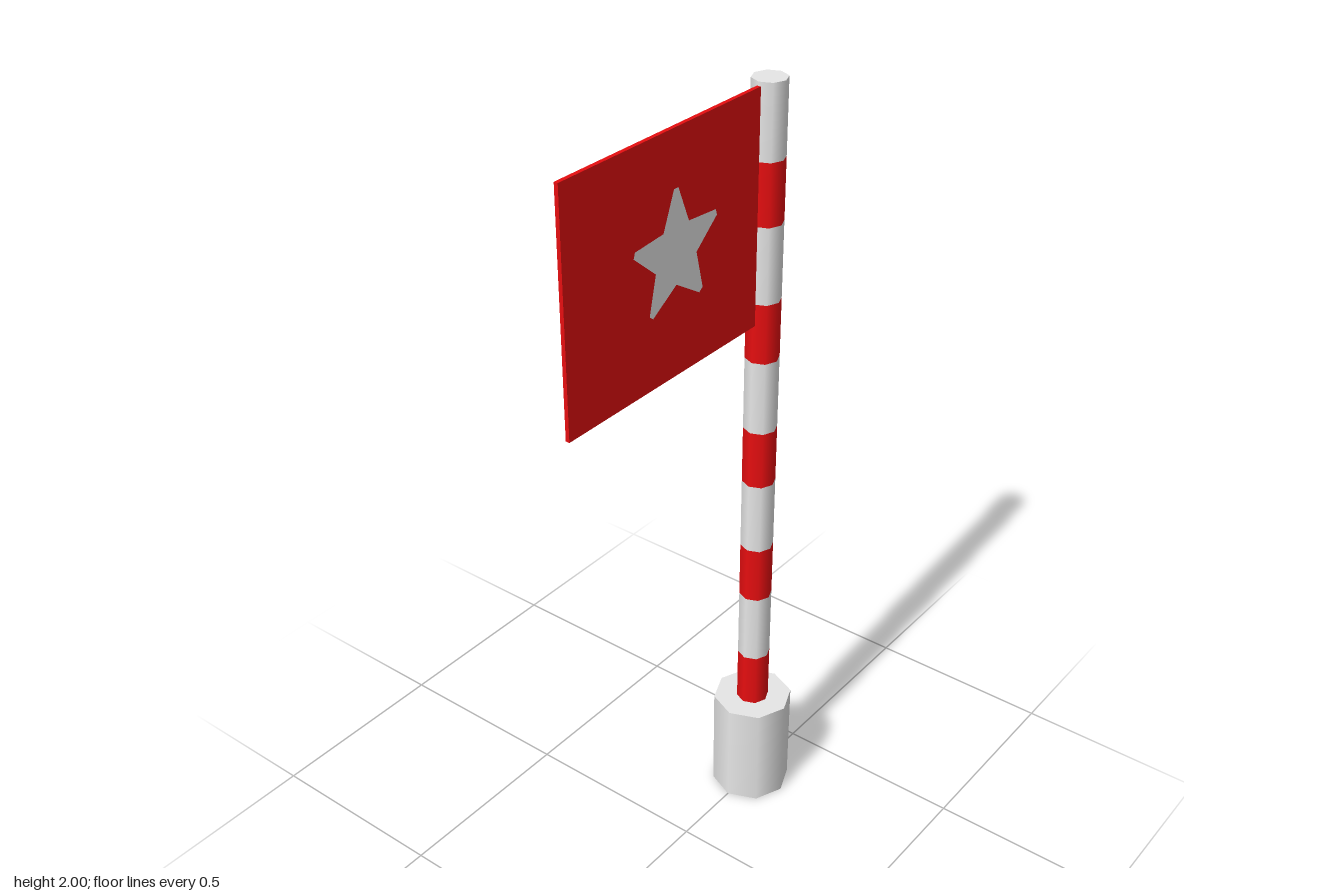
import * as THREE from 'three';

const white = new THREE.MeshStandardMaterial({ name: 'white', color: 0xe6e6e6 });
const red = new THREE.MeshStandardMaterial({ name: 'red', color: 0xe60e10 });

const POLE_X = 0.291;

function add(parent, name, geometry, material, x = 0, y = 0, z = 0) {
  const mesh = new THREE.Mesh(geometry, material);
  mesh.name = name;
  mesh.position.set(x, y, z);
  parent.add(mesh);
  return mesh;
}

// Five-pointed star with slightly blunted tips, centred on the origin
function starShape(outer, inner, blunt) {
  const points = [];
  for (let i = 0; i < 5; i++) {
    const tip = Math.PI / 2 + (i * Math.PI * 2) / 5;
    for (const [r, a] of [[outer, tip - blunt], [outer, tip + blunt], [inner, tip + Math.PI / 5]]) {
      points.push(new THREE.Vector2(r * Math.cos(a), r * Math.sin(a)));
    }
  }
  return new THREE.Shape(points);
}

export function createModel() {
  const model = new THREE.Group();
  model.name = 'flagPole';

  // Octagonal foot
  add(model, 'base', new THREE.CylinderGeometry(0.104, 0.104, 0.29, 8), white, POLE_X, 0.145);

  // Striped pole: red and white bands, only the top one capped
  const pole = new THREE.Group();
  pole.name = 'pole';
  model.add(pole);
  const levels = [0.29];
  for (let i = 0; i < 5; i++) levels.push(0.44 + i * 0.345, 0.632 + i * 0.345);
  levels[levels.length - 1] = 2;
  for (let i = 0; i < levels.length - 1; i++) {
    const height = levels[i + 1] - levels[i];
    const isTop = i === levels.length - 2;
    const band = new THREE.CylinderGeometry(0.042, 0.042, height, 8, 1, !isTop);
    add(pole, i % 2 ? 'whiteBand' : 'redBand', band, i % 2 ? white : red, POLE_X, levels[i] + height / 2);
  }

  // Flag panel, its inner edge tucked into the pole
  add(model, 'flag', new THREE.BoxGeometry(0.655, 0.57, 0.01), red, -0.0725, 1.705);

  // Star on both faces of the flag
  const star = new THREE.ShapeGeometry(starShape(0.146, 0.073, 0.05));
  add(model, 'frontStar', star, white, -0.043, 1.714, 0.0065);
  add(model, 'backStar', star, white, -0.043, 1.714, -0.0065).rotation.y = Math.PI;

  return model;
}
